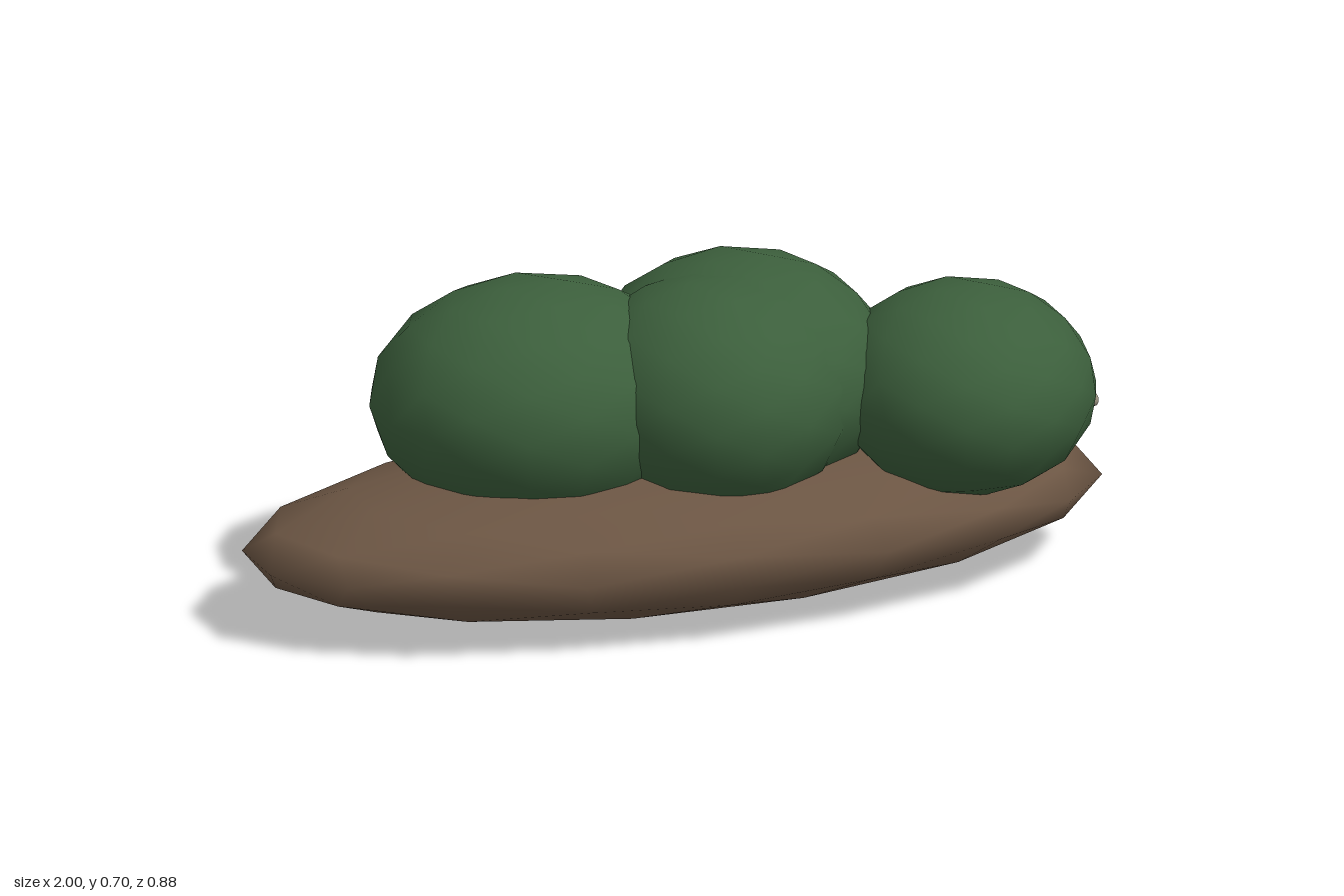
import * as THREE from 'three';

const soil = new THREE.MeshStandardMaterial({ color: 0x6b5543 });
soil.name = 'soil brown';
const leaf = new THREE.MeshStandardMaterial({ color: 0x3c5f3c });
leaf.name = 'leaf green';
const wood = new THREE.MeshStandardMaterial({ color: 0x9a917f });
wood.name = 'pale wood';

// Squashed, smooth-shaded low-poly ball
function blob(name, material, centre, radii) {
  const mesh = new THREE.Mesh(new THREE.IcosahedronGeometry(1, 2), material);
  mesh.name = name;
  mesh.position.set(...centre);
  mesh.scale.set(...radii);
  return mesh;
}

// Straight round stick between two points
function stick(name, material, from, to, radius) {
  const a = new THREE.Vector3(...from);
  const b = new THREE.Vector3(...to);
  const dir = b.clone().sub(a);
  const mesh = new THREE.Mesh(new THREE.CylinderGeometry(radius, radius, dir.length(), 10), material);
  mesh.name = name;
  mesh.position.copy(a).add(b).multiplyScalar(0.5);
  mesh.quaternion.setFromUnitVectors(new THREE.Vector3(0, 1, 0), dir.normalize());
  return mesh;
}

export function createModel() {
  const model = new THREE.Group();
  model.name = 'bushMound';

  // Flat earth mound
  model.add(blob('mound', soil, [-0.06, 0.168, -0.02], [0.96, 0.17, 0.43]));

  // Row of overlapping bushes
  const bushes = [
    [[-0.34, 0.435, -0.1], [0.357, 0.257, 0.332]],
    [[0.02, 0.45, 0.03], [0.3, 0.25, 0.316]],
    [[0.11, 0.455, -0.06], [0.325, 0.253, 0.345]],
    [[0.54, 0.432, 0.145], [0.28, 0.226, 0.301]],
  ];
  bushes.forEach(([centre, radii], i) => model.add(blob(`bush${i + 1}`, leaf, centre, radii)));

  // Twig poking out of the mound
  model.add(stick('twig', wood, [0.6, 0.266, -0.085], [0.99, 0.211, -0.278], 0.015));

  return model;
}
